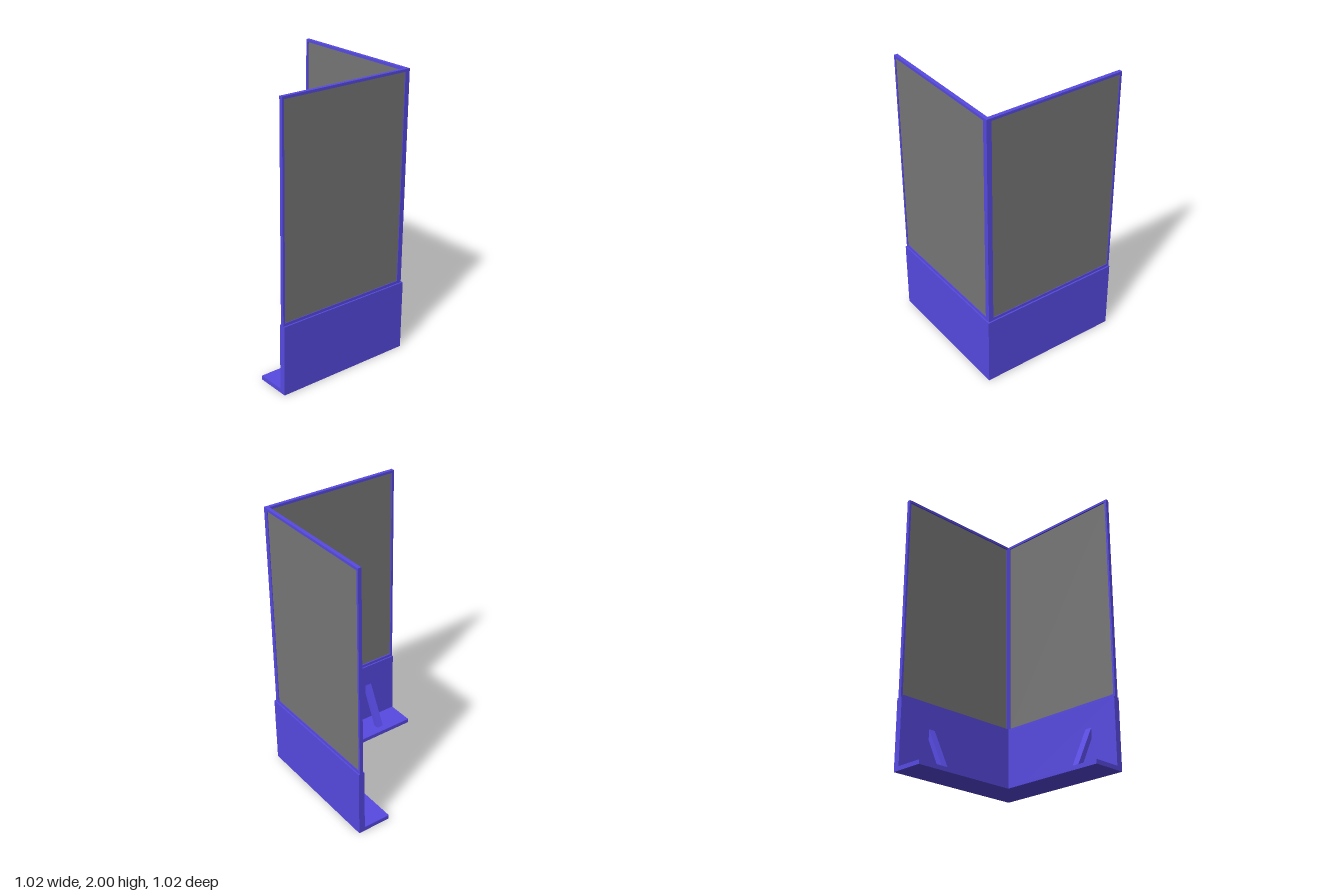
import * as THREE from 'three';

const OUT = 0.51;        // outer face of the lower walls
const WALL = 0.465;      // inner face of the lower walls
const BASE_IN = 0.265;   // inner edge of the base
const BASE_H = 0.03;
const FRAME = [0.475, 0.5];

const blue = new THREE.MeshStandardMaterial({ color: 0x574ae2 });
blue.name = 'blue paint';
const grey = new THREE.MeshStandardMaterial({ color: 0x777777 });
grey.name = 'grey panel';

function box(name, material, [x0, x1], [y0, y1], [z0, z1]) {
  const mesh = new THREE.Mesh(new THREE.BoxGeometry(x1 - x0, y1 - y0, z1 - z0), material);
  mesh.position.set((x0 + x1) / 2, (y0 + y1) / 2, (z0 + z1) / 2);
  mesh.name = name;
  return mesh;
}

function polygon(points) {
  return new THREE.Shape(points.map(([x, y]) => new THREE.Vector2(x, y)));
}

function extrude(name, shape, depth) {
  const mesh = new THREE.Mesh(new THREE.ExtrudeGeometry(shape, { depth, bevelEnabled: false }), blue);
  mesh.name = name;
  return mesh;
}

// One wing along x; wallEnd and frameEnd set where it meets the corner
function makeWing(name, wallEnd, frameEnd, braceX) {
  const wing = new THREE.Group();
  wing.name = name;
  wing.add(box('lowerWall', blue, [-OUT, wallEnd], [0, 0.5], [WALL, OUT]));

  // Upper frame with its opening
  const outline = polygon([[-OUT, 0.5], [frameEnd, 0.5], [frameEnd, 2], [-OUT, 2]]);
  outline.holes.push(polygon([[-0.495, 0.52], [-0.495, 1.982], [0.465, 1.982], [0.465, 0.52]]));
  const frame = extrude('upperFrame', outline, FRAME[1] - FRAME[0]);
  frame.position.z = FRAME[0];
  wing.add(frame);
  wing.add(box('panel', grey, [-0.495, 0.465], [0.52, 1.982], [0.485, 0.495]));

  // Sloping brace, profile drawn in (-z, y)
  const profile = polygon([[-WALL, 0.26], [-0.355, BASE_H], [-0.315, BASE_H], [-WALL, 0.335]]);
  const brace = extrude('brace', profile, 0.05);
  brace.rotation.y = Math.PI / 2;
  brace.position.x = braceX - 0.025;
  wing.add(brace);
  return wing;
}

export function createModel() {
  const model = new THREE.Group();
  model.name = 'cornerDisplayScreen';

  // L-shaped base, drawn in (x, -z) and laid flat
  const base = extrude('base', polygon([
    [-OUT, -WALL], [WALL, -WALL], [WALL, OUT], [BASE_IN, OUT], [BASE_IN, -BASE_IN], [-OUT, -BASE_IN],
  ]), BASE_H);
  base.rotation.x = -Math.PI / 2;
  model.add(base);

  model.add(makeWing('frontWing', OUT, FRAME[1], -0.28));

  // Second wing: x and z swapped
  const side = makeWing('sideWing', WALL, FRAME[0], -0.245);
  side.rotation.y = Math.PI / 2;
  side.scale.x = -1;
  model.add(side);
  return model;
}
